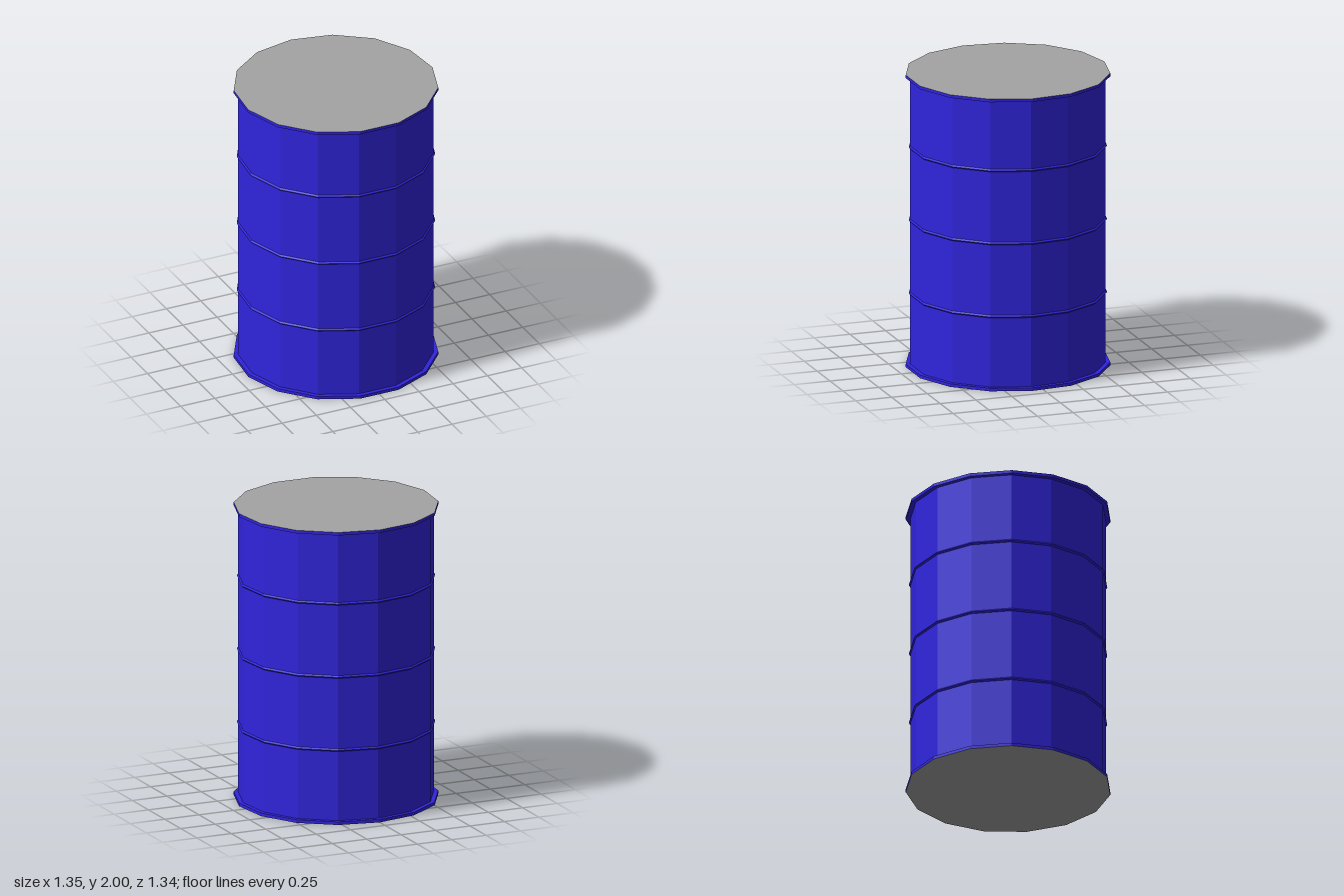
import * as THREE from 'three';

const SIDES = 15;

export function createModel() {
  const blue = new THREE.MeshStandardMaterial({ color: 0x3024dc });
  blue.name = 'bluePaint';
  blue.flatShading = true;
  const grey = new THREE.MeshStandardMaterial({ color: 0xa3a3a3 });
  grey.name = 'greyLid';
  grey.flatShading = true;

  const drum = new THREE.Group();
  drum.name = 'drum';
  drum.position.z = 0.0074; // centres the odd-sided outline

  const add = (name, geometry, material, y = 0) => {
    const mesh = new THREE.Mesh(geometry, material);
    mesh.name = name;
    mesh.position.y = y;
    drum.add(mesh);
    return mesh;
  };
  // Faceted ring from [radius, y] points, listed bottom to top, corner at the back
  const ring = (points) =>
    new THREE.LatheGeometry(points.map(([r, y]) => new THREE.Vector2(r, y)), SIDES, Math.PI);

  const wallR = 0.647, rimR = 0.677, rimH = 0.021;

  // Wall
  add('wall', ring([[wallR, 0.01], [wallR, 1.99]]), blue);

  // Raised ribs
  for (const y of [0.5, 1, 1.5]) {
    add('rib', ring([[wallR - 0.002, -0.012], [wallR + 0.01, 0], [wallR - 0.002, 0.012]]), blue, y + 0.003);
  }

  // Rims at both ends
  add('bottomRim', ring([[rimR, 0], [rimR, rimH], [wallR - 0.005, rimH]]), blue);
  add('topRim', ring([[wallR - 0.005, -rimH], [rimR, -rimH], [rimR, 0]]), blue, 2);

  // End discs
  const lid = add('topLid', new THREE.CircleGeometry(rimR, SIDES, Math.PI / 2), grey, 2);
  lid.rotation.x = -Math.PI / 2;
  const base = add('bottomLid', new THREE.CircleGeometry(rimR, SIDES, -Math.PI / 2), grey, 0);
  base.rotation.x = Math.PI / 2;

  const model = new THREE.Group();
  model.add(drum);
  return model;
}
